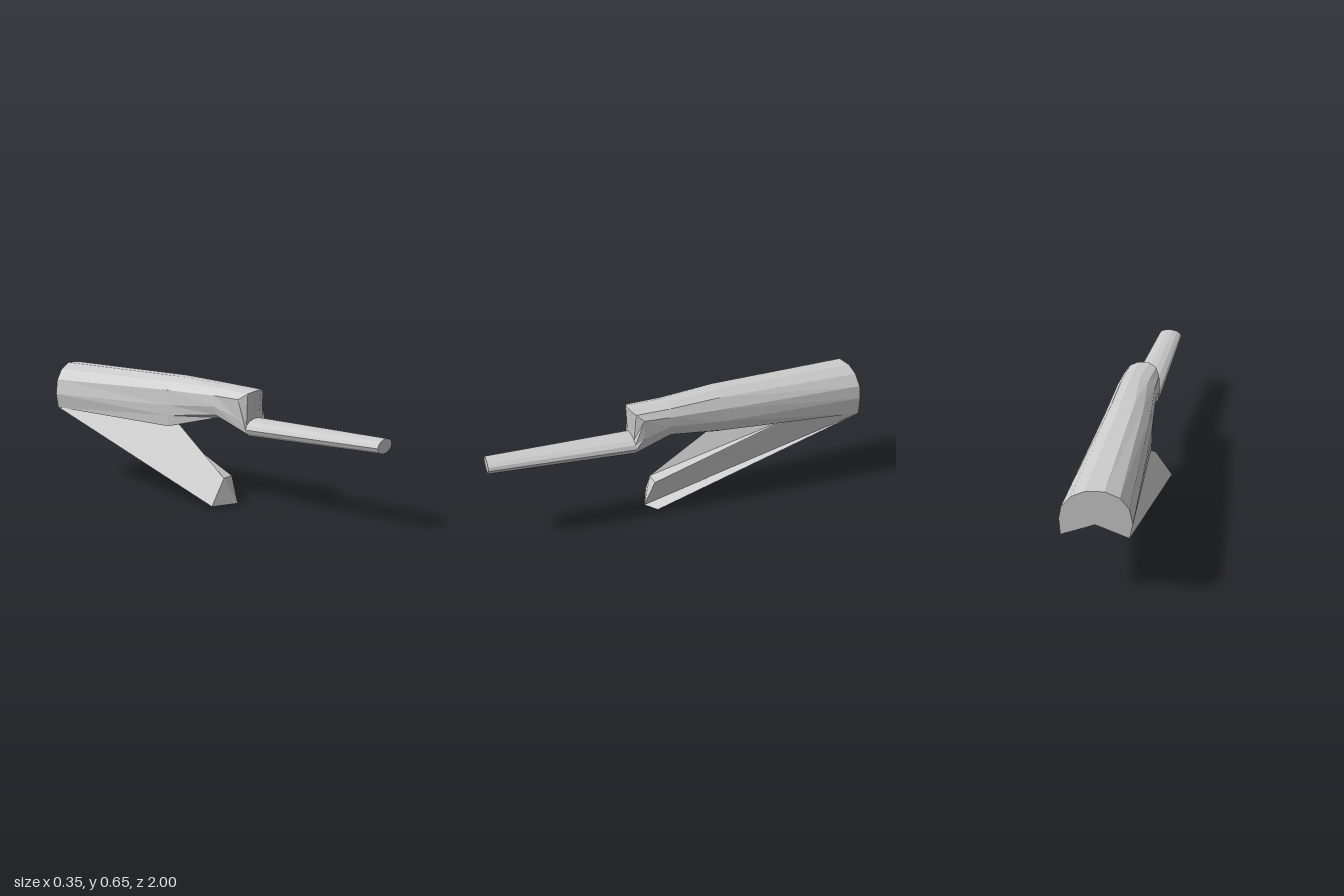
import * as THREE from 'three';

const material = new THREE.MeshStandardMaterial({
  color: 0xcccccc, flatShading: true, side: THREE.DoubleSide,
});

// Skins a list of rings (counter-clockwise seen from the front, ordered back to front).
// Caps fan out from a given point, or from the ring's centre.
function loft(name, rings, frontHub, backHub) {
  const pos = [];
  const tri = (...pts) => pts.forEach((p) => pos.push(...p));
  const centre = (ring) => [0, 1, 2].map((k) => ring.reduce((s, p) => s + p[k], 0) / ring.length);
  const n = rings[0].length;
  const first = rings[0], last = rings[rings.length - 1];
  const front = frontHub || centre(last), back = backHub || centre(first);
  for (let i = 0; i < n; i++) {
    const j = (i + 1) % n;
    for (let k = 0; k + 1 < rings.length; k++) {
      const a = rings[k], b = rings[k + 1];
      tri(a[i], a[j], b[j]);
      tri(a[i], b[j], b[i]);
    }
    tri(front, last[i], last[j]);
    tri(back, first[j], first[i]);
  }
  const geometry = new THREE.BufferGeometry();
  geometry.setAttribute('position', new THREE.Float32BufferAttribute(pos, 3));
  geometry.computeVertexNormals();
  const mesh = new THREE.Mesh(geometry, material);
  mesh.name = name;
  return mesh;
}

const atZ = (pts, z) => pts.map(([x, y]) => [x, y, z]);

// 14-sided oval whose points line up with the body sections
function oval(cx, cy, rx, ry, z) {
  return Array.from({ length: 14 }, (_, i) => {
    const a = Math.PI / 2 + ((i - 4.5) * Math.PI * 2) / 14;
    return [cx + rx * Math.cos(a), cy + ry * Math.sin(a), z];
  });
}

export function createModel() {
  const group = new THREE.Group();
  group.name = 'model';

  // Slanted back end with a notch underneath
  const backEnd = [
    [0.145, 0.41], [0.148, 0.5], [0.135, 0.565], [0.09, 0.62], [0.03, 0.65],
    [-0.055, 0.655], [-0.12, 0.625], [-0.16, 0.57], [-0.175, 0.49], [-0.16, 0.41],
    [-0.1, 0.436], [-0.04, 0.462], [-0.01, 0.475], [0.07, 0.441],
  ].map(([x, y]) => [x, y, -0.979 - 0.14 * x]);

  // Middle of the body, where the prong branches off
  const middle = atZ([
    [0.155, 0.445], [0.165, 0.5], [0.158, 0.565], [0.125, 0.617], [0.075, 0.643],
    [0.005, 0.645], [-0.04, 0.62], [-0.075, 0.58], [-0.082, 0.5], [-0.082, 0.445],
    [-0.08, 0.387], [-0.03, 0.387], [0.04, 0.4], [0.11, 0.42],
  ], -0.2);

  // Narrow neck behind the front lip
  const neck = atZ([
    [0.16, 0.47], [0.172, 0.52], [0.17, 0.57], [0.145, 0.605], [0.1, 0.624],
    [0.05, 0.624], [0.005, 0.61], [-0.03, 0.575], [-0.038, 0.52], [-0.028, 0.475],
    [-0.005, 0.457], [0.04, 0.45], [0.09, 0.45], [0.13, 0.455],
  ], 0.08);

  // Overhanging lip: its lower points already belong to the rod
  const rodBase = oval(0.075, 0.418, 0.092, 0.049, 0.265);
  const lip = rodBase.map((p) => [...p]);
  [
    [0.166, 0.47, 0.22], [0.168, 0.57, 0.22], [0.145, 0.598, 0.255], [0.105, 0.612, 0.275],
    [0.045, 0.612, 0.28], [0.005, 0.6, 0.26], [-0.022, 0.57, 0.22], [-0.018, 0.47, 0.22],
  ].forEach((p, i) => { lip[i + 1] = p; });

  group.add(loft('body', [backEnd, middle, neck, lip, rodBase]));
  group.add(loft('frontRod', [rodBase, oval(0.085, 0.423, 0.068, 0.036, 1)]));

  // Prong reaching forward and down, with a shallow channel underneath
  const prongRoot = [
    [0.125, 0.43, -0.6], [0.125, 0.44, -0.6], [0.014, 0.463, -0.3],
    [-0.16, 0.41, -0.956], [-0.01, 0.475, -0.977], [0.145, 0.41, -0.999],
  ];
  const prongTip = [
    [0.03, 0.005, 0.185], [0.05, 0.142, 0.13], [-0.025, 0.145, 0.135],
    [-0.12, 0.012, 0.13], [0.03, 0.01, 0.125], [0.093, 0, 0.13],
  ];
  group.add(loft('prong', [prongRoot, prongTip], prongTip[0], prongRoot[0]));

  return group;
}
